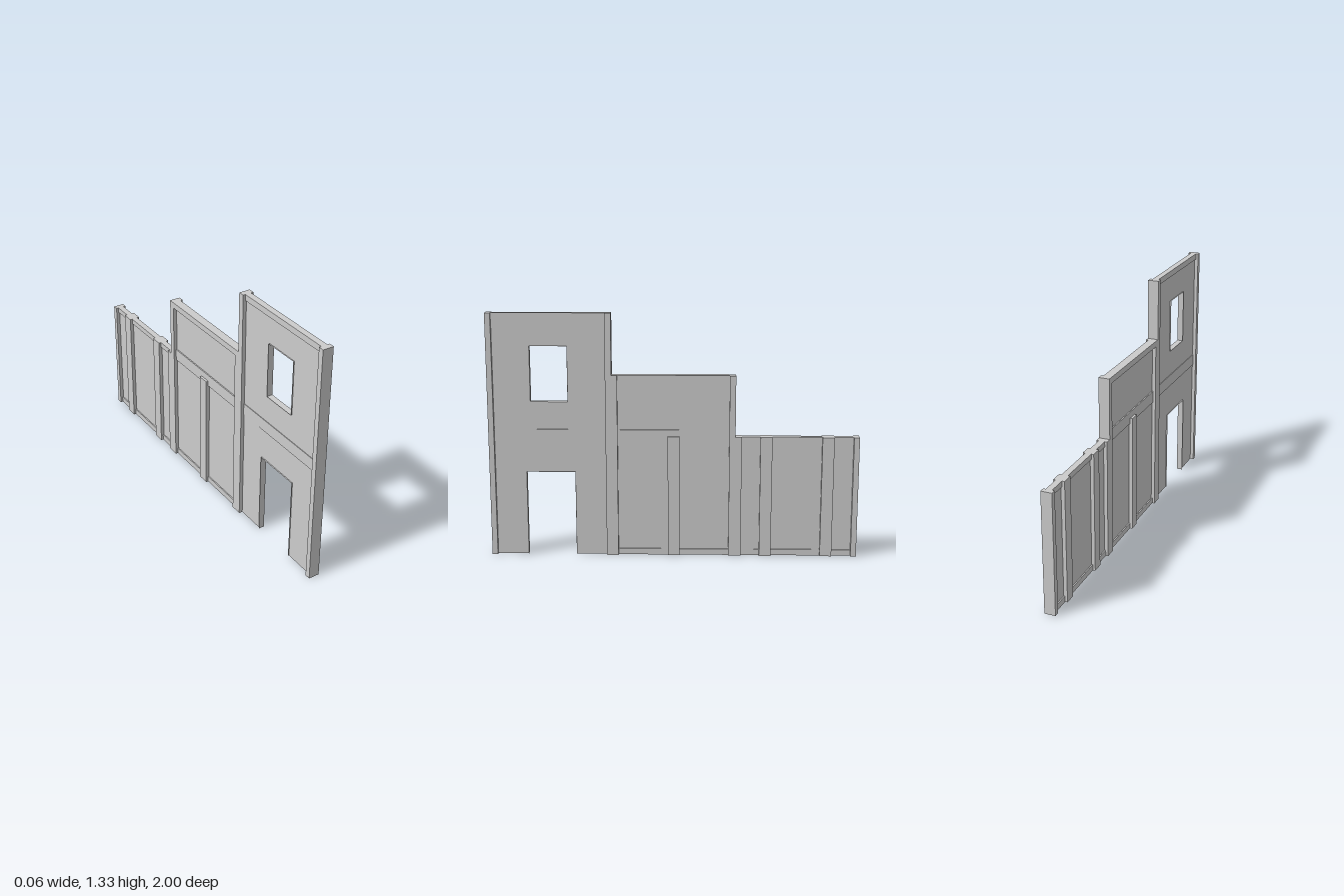
import * as THREE from 'three';

const PANEL = 0.01, RAIL = 0.0167, POST = 0.03; // half thicknesses

export function createModel() {
  const group = new THREE.Group();
  const mat = new THREE.MeshStandardMaterial({ color: 0xcccccc, flatShading: true });
  const thin = new THREE.MeshStandardMaterial({ color: 0xcccccc, flatShading: true, side: THREE.DoubleSide });

  const add = (name, geometry, material = mat) => {
    const mesh = new THREE.Mesh(geometry, material);
    mesh.name = name;
    group.add(mesh);
  };
  // Box spanning z0..z1 and y0..y1, from x0 to x1
  const slab = (name, z0, z1, y0, y1, x1, x0 = -x1) => {
    const g = new THREE.BoxGeometry(x1 - x0, y1 - y0, z1 - z0);
    g.translate((x0 + x1) / 2, (y0 + y1) / 2, (z0 + z1) / 2);
    add(name, g);
  };

  // Stepped wall panel with doorway notch and window opening (shape x runs along z)
  const wall = new THREE.Shape([
    [-0.99, 0], [0.535, 0], [0.535, 0.467], [0.8, 0.467], [0.8, 0], [0.99, 0],
    [0.99, 1.325], [0.34, 1.325], [0.34, 0.99], [-0.33, 0.99], [-0.33, 0.66], [-0.99, 0.66],
  ].map(([z, y]) => new THREE.Vector2(z, y)));
  wall.holes.push(new THREE.Path([[0.57, 0.855], [0.57, 1.155], [0.77, 1.155], [0.77, 0.855]]
    .map(([z, y]) => new THREE.Vector2(z, y))));
  const panel = new THREE.ExtrudeGeometry(wall, { depth: 2 * PANEL, bevelEnabled: false });
  panel.translate(0, 0, -PANEL);
  panel.rotateY(-Math.PI / 2);
  add('wallPanel', panel);

  // Thin linings standing proud of the panel around the openings
  const liningX = (name, z0, z1, y) => {
    const g = new THREE.PlaneGeometry(2 * RAIL, z1 - z0).rotateX(-Math.PI / 2);
    add(name, g.translate(0, y, (z0 + z1) / 2), thin);
  };
  const liningZ = (name, z, y0, y1) => {
    const g = new THREE.PlaneGeometry(2 * RAIL, y1 - y0);
    add(name, g.translate(0, (y0 + y1) / 2, z), thin);
  };
  liningX('doorHead', 0.535, 0.8, 0.467);
  for (const z of [0.535, 0.8]) liningZ('doorJamb', z, 0, 0.467);
  for (const y of [0.855, 1.155]) liningX('windowLining', 0.57, 0.77, y);
  for (const z of [0.57, 0.77]) liningZ('windowJamb', z, 0.855, 1.155);

  // Posts; those at the steps are narrower above the lower roof line
  slab('frontPost', 0.97, 1, 0, 1.333, POST);
  slab('highStepPost', 0.303, 0.367, 0, 1, POST);
  slab('highStepPostTop', 0.333, 0.367, 1, 1.333, POST);
  slab('lowStepPost', -0.367, -0.3, 0, 0.667, POST);
  slab('lowStepPostTop', -0.333, -0.3, 0.667, 1, POST);
  for (const z of [0, -0.5, -0.833]) slab('wallPost', z - 0.032, z + 0.032, 0, 0.667, POST);
  slab('rearPost', -1, -0.97, 0, 0.667, POST);

  // Top rails, middle belts and base rails
  slab('highTopRail', 0.367, 0.97, 1.3, 1.333, RAIL);
  slab('middleTopRail', -0.3, 0.303, 0.967, 1, RAIL, -POST);
  slab('lowTopRail', -0.97, -0.367, 0.637, 0.667, RAIL);
  slab('highBelt', 0.367, 0.97, 0.637, 0.703, 0.0135);
  slab('middleBelt', -0.3, 0.303, 0.637, 0.703, RAIL);
  slab('middleBaseRail', -0.3, 0.303, 0, 0.033, RAIL);
  slab('lowBaseRail', -0.97, -0.367, 0, 0.033, RAIL);

  return group;
}
